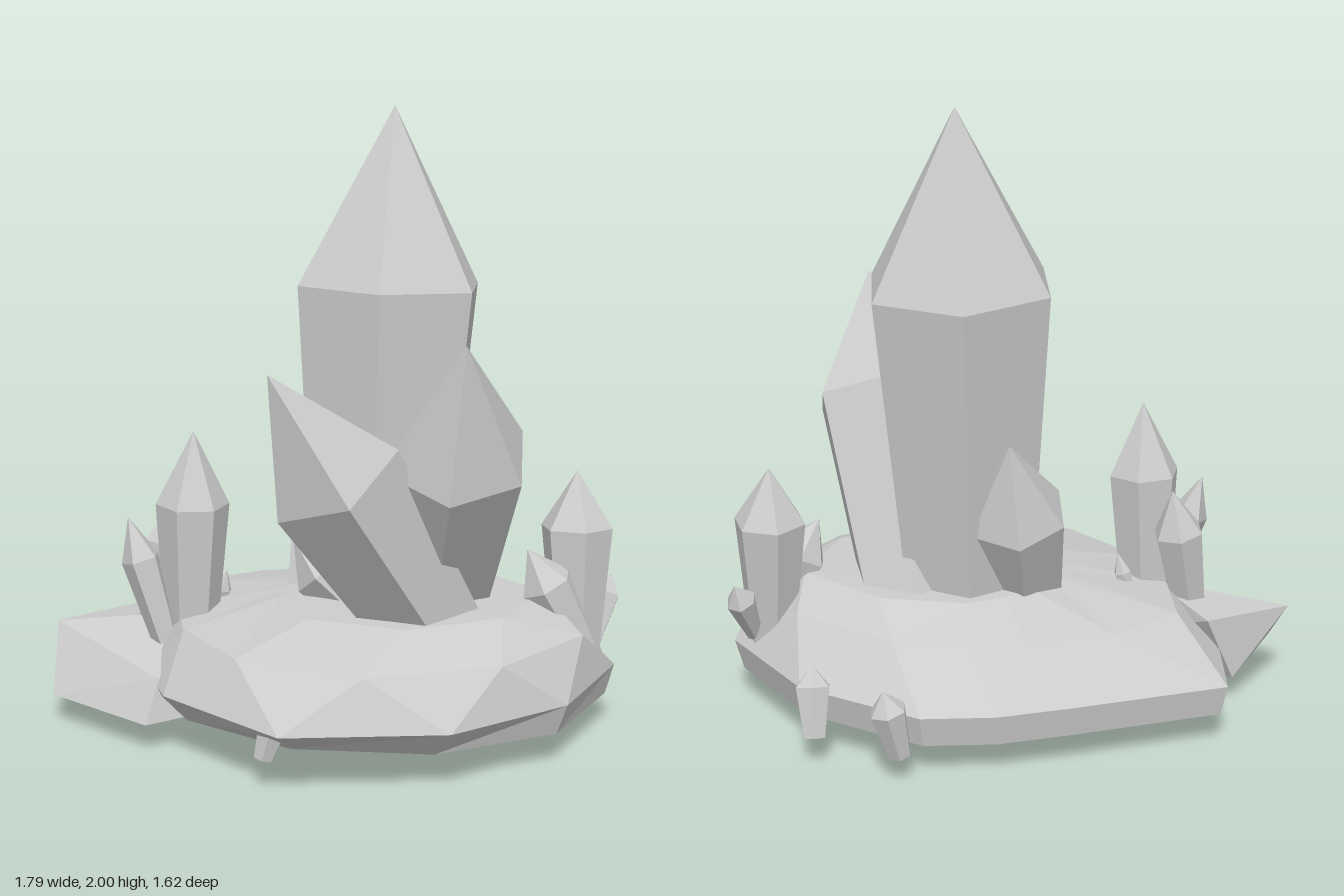
import * as THREE from 'three';
import { ConvexGeometry } from 'three/addons/geometries/ConvexGeometry.js';

const V = (x, y, z) => new THREE.Vector3(x, y, z);

// Skins a stack of equal-length rings (bottom to top); a ring may collapse to a point.
function loft(rings) {
  const points = [];
  const tri = (a, b, c) => {
    if (!a.equals(b) && !b.equals(c) && !a.equals(c)) points.push(a, b, c);
  };
  for (let k = 0; k < rings.length - 1; k++) {
    const lo = rings[k], hi = rings[k + 1], n = lo.length;
    for (let i = 0; i < n; i++) {
      const j = (i + 1) % n;
      tri(lo[i], hi[i], lo[j]);
      tri(lo[j], hi[i], hi[j]);
    }
  }
  const geometry = new THREE.BufferGeometry().setFromPoints(points);
  geometry.computeVertexNormals();
  return geometry;
}

// Prism flaring from base to shoulder, closed by a pointed tip.
function crystalGeometry(base, tip, radius, sides = 6, spin = 0.26) {
  const axis = tip.clone().sub(base).normalize();
  const u = V(1, 0, 0).addScaledVector(axis, -axis.x).normalize();
  const v = u.clone().cross(axis);
  const ring = (t, r) => Array.from({ length: sides }, (_, i) => {
    const a = spin + (i / sides) * Math.PI * 2;
    return base.clone().lerp(tip, t)
      .addScaledVector(u, r * Math.cos(a)).addScaledVector(v, r * Math.sin(a));
  });
  return loft([ring(0, 0), ring(0, radius * 0.63), ring(0.705, radius), ring(1, 0)]);
}

// Flat-bottomed slab; each upper ring is staggered by half a step to give triangular facets.
function slabGeometry() {
  const rim = [
    [0.89, -0.24], [0.86, 0.2], [0.61, 0.58], [0.14, 0.8], [-0.34, 0.59], [-0.52, 0.36],
    [-0.69, 0.05], [-0.76, -0.28], [-0.3, -0.54], [-0.09, -0.65], [0.14, -0.71], [0.57, -0.56],
  ];
  const next = rim.map((_, i) => rim[(i + 1) % rim.length]);
  const middle = rim.map(([x, z], i) => [(x + next[i][0]) / 2, (z + next[i][1]) / 2]);
  const ring = (outline, y, scale) =>
    outline.map(([x, z]) => V(x * scale(x, z), y, z * scale(x, z)));
  return loft([
    ring(rim, 0.1, () => 0),
    ring(rim, 0.1, (x, z) => 0.97 - 0.3 * Math.max(z, 0) ** 2),
    ring(rim, 0.2, () => 1),
    ring(middle, 0.36, (x, z) => 0.88 + 0.1 * x + 0.2 * Math.min(z, 0)),
    ring(next, 0.44, (x) => 0.43 + 0.35 * x),
    ring(next, 0.45, () => 0),
  ]);
}

export function createModel() {
  const group = new THREE.Group();
  group.name = 'crystalCluster';
  const stone = new THREE.MeshStandardMaterial({ color: 0xcccccc, flatShading: true });
  stone.name = 'paleGreyStone';
  const add = (name, geometry) => {
    const mesh = new THREE.Mesh(geometry, stone);
    mesh.name = name;
    group.add(mesh);
  };

  add('baseRock', slabGeometry());

  // Angular boulder beside the base
  add('sideRock', new ConvexGeometry([
    V(-0.9, 0.28, 0.24), V(-0.66, 0.31, -0.02), V(-0.45, 0.35, 0.2), V(-0.4, 0.22, 0.5),
    V(-0.82, 0.09, 0.43), V(-0.41, 0.09, 0.58), V(-0.74, 0.09, 0.04), V(-0.25, 0.09, 0.35),
  ]));

  // Large central crystals
  add('mainCrystal', crystalGeometry(V(0.13, 0.06, -0.05), V(0.145, 2, -0.16), 0.32));
  add('rightLeaningCrystal', crystalGeometry(V(0.21, 0.075, -0.29), V(0.57, 1.34, 0.36), 0.25));
  add('frontLeaningCrystal',
    crystalGeometry(V(0.48, 0.1, -0.05), V(0.03, 1.26, 0.61), 0.225, 5, -Math.PI / 2));
  add('backLeaningCrystal', crystalGeometry(V(-0.04, 0.06, 0.11), V(-0.06, 0.97, -0.32), 0.17));
  add('lowFrontCrystal', crystalGeometry(V(0.22, 0.3, 0.05), V(-0.09, 0.62, 0.13), 0.11));

  // Small upright crystals on both sides
  add('leftCrystal', crystalGeometry(V(-0.42, 0.15, 0.22), V(-0.4, 0.97, 0.22), 0.12, 6, 0.52));
  add('leftBackShard', crystalGeometry(V(-0.58, 0.2, 0.19), V(-0.52, 0.71, 0.1), 0.085));
  add('leftFrontShard', crystalGeometry(V(-0.45, 0.22, 0.3), V(-0.59, 0.69, 0.32), 0.065, 5));
  add('leftTinyShard', crystalGeometry(V(-0.4, 0.25, 0.1), V(-0.34, 0.48, 0.1), 0.03));
  add('leftUnderShard', crystalGeometry(V(-0.68, 0.085, 0.11), V(-0.66, 0.32, 0.11), 0.04));
  add('rightCrystal', crystalGeometry(V(0.76, 0.2, -0.24), V(0.74, 0.83, -0.28), 0.12, 6, 0));
  add('rightFrontShard', crystalGeometry(V(0.82, 0.2, -0.2), V(0.63, 0.6, -0.1), 0.09));
  add('rightBackShard', crystalGeometry(V(0.8, 0.25, -0.28), V(0.83, 0.46, -0.4), 0.05));

  // Shards around the rim
  add('backShard', crystalGeometry(V(0.2, 0.085, -0.73), V(0.24, 0.31, -0.77), 0.06));
  add('backSideShard', crystalGeometry(V(0.49, 0.085, -0.67), V(0.515, 0.3, -0.6), 0.06));
  add('frontUnderShard', crystalGeometry(V(0.05, 0.09, 0.705), V(0.09, 0.24, 0.68), 0.05));

  // Stubby roots leaning inwards beneath the base
  for (let i = 0; i < 4; i++) {
    const a = 1.2 + i * 1.1, x = Math.cos(a), z = Math.sin(a);
    add('root', crystalGeometry(V(0.05 + 0.25 * x, 0.05, 0.22 * z), V(0.05 + 0.1 * x, 0.3, 0.1 * z), 0.09));
  }
  return group;
}
